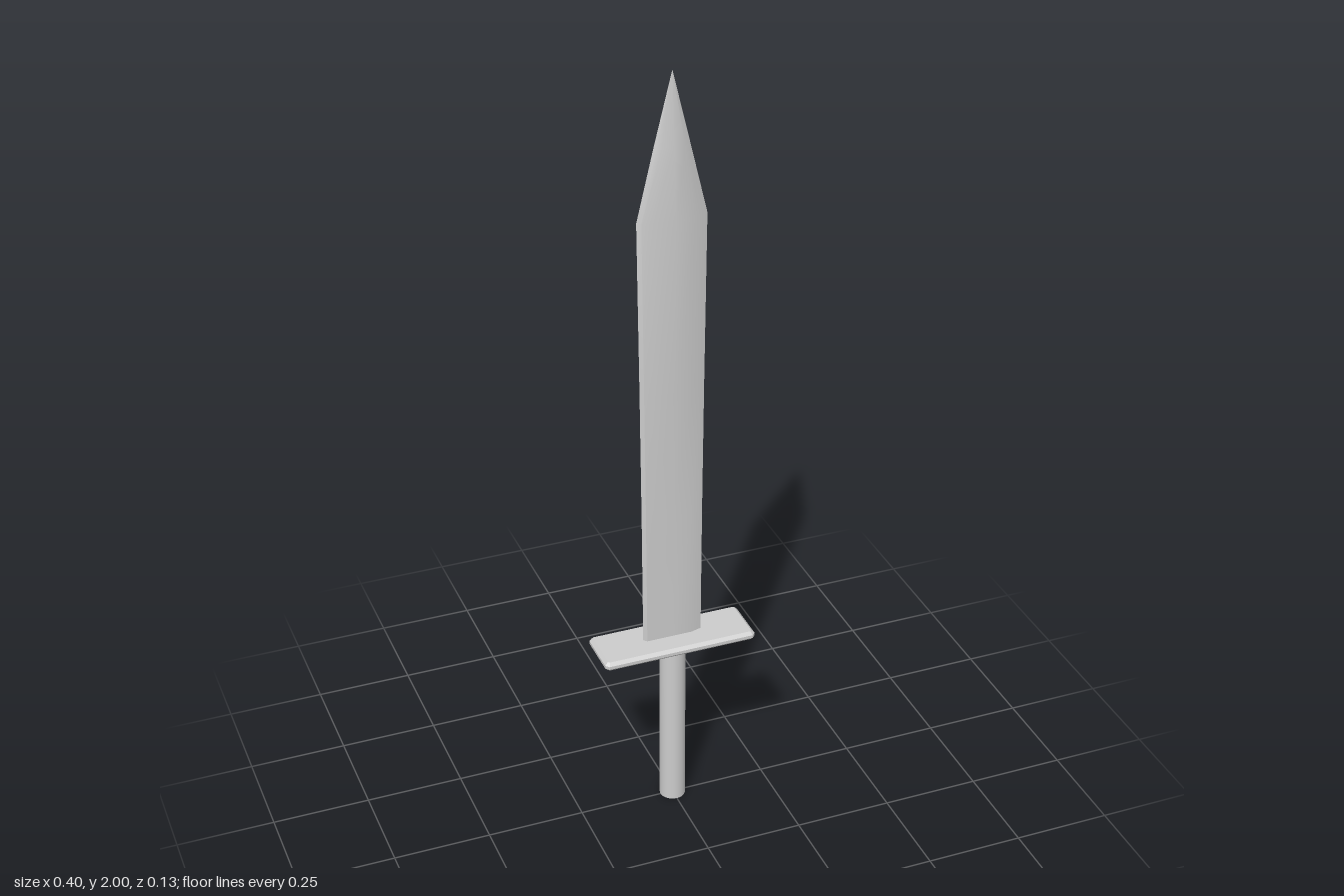
import * as THREE from 'three';
import { toCreasedNormals } from 'three/addons/utils/BufferGeometryUtils.js';

const steel = new THREE.MeshStandardMaterial({ color: 0xcccccc });

function part(name, geometry) {
  const mesh = new THREE.Mesh(geometry, steel);
  mesh.name = name;
  return mesh;
}

// Joins closed cross-sections, each listed left, front, right, back, from bottom to top.
function loft(sections) {
  const n = sections[0].length, index = [];
  for (let i = 0; i < sections.length - 1; i++) {
    for (let j = 0; j < n; j++) {
      const a = i * n + j, b = i * n + (j + 1) % n;
      index.push(a, b, b + n, a, b + n, a + n);
    }
  }
  for (let j = 1; j < n - 1; j++) index.push(0, j + 1, j); // bottom cap
  const geometry = new THREE.BufferGeometry();
  geometry.setAttribute('position', new THREE.Float32BufferAttribute(sections.flat(2), 3));
  geometry.setIndex(index);
  return geometry;
}

// One blade section: half width, ridge, shoulder and back depths.
function bladeSection(y, w, ridge, shoulder, back, leftFront, rightBack) {
  const inner = w * 0.64;
  return [
    [-w, y, -0.003], [-w * 0.9, y, leftFront], [-inner, y, shoulder],
    [0, y, ridge],
    [inner, y, shoulder], [w, y, -0.002], [w * 0.87, y, rightBack],
    [0, y, back],
  ];
}

export function createModel() {
  const group = new THREE.Group();
  group.name = 'sword';

  // Flat lower blade swelling into a front ridge, then a sharp point
  const blade = loft([
    bladeSection(0.485, 0.077, 0.006, 0.006, -0.006, 0.006, -0.006),
    bladeSection(0.86, 0.079, 0.007, 0.006, -0.006, 0.006, -0.007),
    bladeSection(1.2, 0.082, 0.014, 0.008, -0.005, 0.006, -0.008),
    bladeSection(1.64, 0.087, 0.022, 0.012, -0.004, 0.007, -0.009),
    bladeSection(1.82, 0.044, 0.013, 0.007, -0.003, 0.003, -0.006),
    bladeSection(2, 0, 0, 0, 0, 0, 0).map(() => [0, 2, 0]),
  ]);
  group.add(part('blade', toCreasedNormals(blade, 0.6)));

  // Chamfered crossguard plate
  const x = 0.192, z = 0.059, cut = 0.004, bevel = 0.008;
  const outline = new THREE.Shape([
    [-x + cut, -z], [x - cut, -z], [x, -z + cut], [x, z - cut],
    [x - cut, z], [-x + cut, z], [-x, z - cut], [-x, -z + cut],
  ].map(([px, py]) => new THREE.Vector2(px, py)));
  const plate = new THREE.ExtrudeGeometry(outline, {
    depth: 0.008, bevelSize: bevel, bevelThickness: bevel, bevelSegments: 1,
  });
  plate.rotateX(-Math.PI / 2).translate(0, 0.478, -0.001);
  group.add(part('crossguard', plate));

  // Round grip
  const grip = new THREE.CylinderGeometry(0.033, 0.033, 0.475, 32);
  grip.translate(0, 0.2375, 0);
  group.add(part('grip', grip));

  return group;
}
